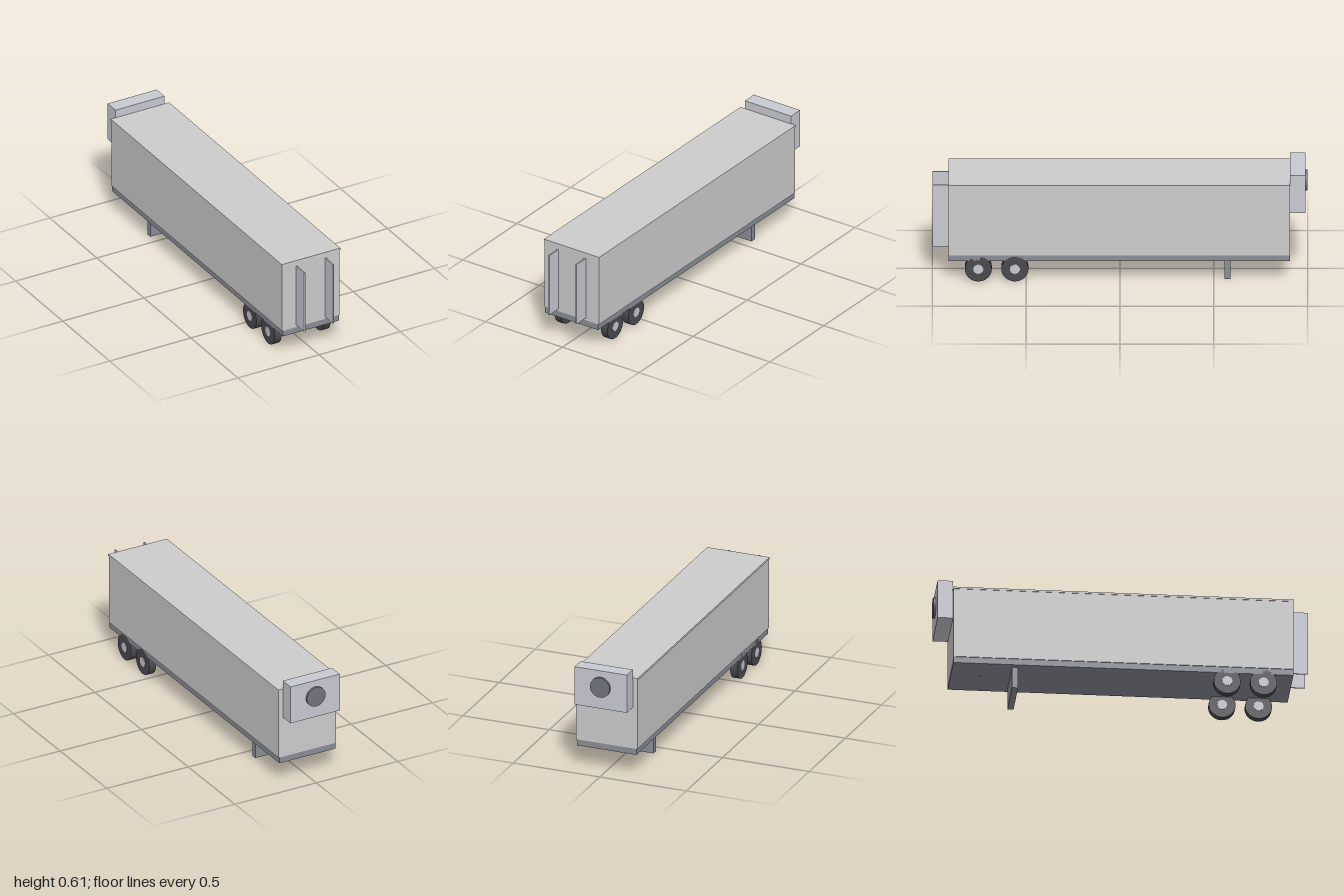
import * as THREE from 'three';

export function createModel() {
  const model = new THREE.Group();
  const mat = (color) => new THREE.MeshStandardMaterial({ color });
  const grey = mat(0xcccccc), steel = mat(0x8a8d96), pale = mat(0xc8cad2);
  const rubber = mat(0x4a4a4e), dark = mat(0x70747c);

  const add = (name, geometry, material, parent = model) => {
    const mesh = new THREE.Mesh(geometry, material);
    mesh.name = name;
    parent.add(mesh);
    return mesh;
  };
  // Box given by its limits on each axis
  const box = (name, material, [x0, x1], [y0, y1], [z0, z1]) =>
    add(name, new THREE.BoxGeometry(x1 - x0, y1 - y0, z1 - z0), material)
      .position.set((x0 + x1) / 2, (y0 + y1) / 2, (z0 + z1) / 2);

  // Cargo box, roof cap and chassis
  box('cargoBox', grey, [-0.177, 0.177], [0.153, 0.552], [-0.905, 0.914]);
  box('roof', grey, [-0.18, 0.18], [0.55, 0.561], [-0.907, 0.915]);
  box('chassis', steel, [-0.172, 0.172], [0.119, 0.153], [-0.905, 0.914]);

  // Cooling unit with its round fan
  box('coolingUnit', pale, [-0.151, 0.151], [0.39, 0.608], [-0.988, -0.905]);
  const fan = add('fan', new THREE.CylinderGeometry(0.057, 0.057, 0.024, 32), dark);
  fan.rotation.x = Math.PI / 2;
  fan.position.set(0, 0.515, -0.988);

  // Landing gear and kingpin under the nose
  box('landingGear', steel, [-0.138, 0.138], [0, 0.12], [-0.588, -0.556]);
  add('kingpin', new THREE.CylinderGeometry(0.018, 0.018, 0.02, 16), steel)
    .position.set(0, 0.1285, -0.755);

  // Open door fins and two wheel pairs, mirrored left and right
  for (const side of [-1, 1]) {
    const x = side * 0.0885;
    box('doorFin', pale, [x - 0.0036, x + 0.0036], [0.167, 0.527], [0.914, 1]);
    for (const z of [0.755, 0.56]) {
      const wheel = new THREE.Group();
      wheel.name = 'wheel';
      add('tyre', new THREE.CylinderGeometry(0.072, 0.072, 0.041, 32), rubber, wheel);
      add('hub', new THREE.CylinderGeometry(0.027, 0.027, 0.045, 24), pale, wheel);
      wheel.rotation.z = Math.PI / 2;
      wheel.position.set(side * 0.1515, 0.072, z);
      model.add(wheel);
    }
  }
  return model;
}
